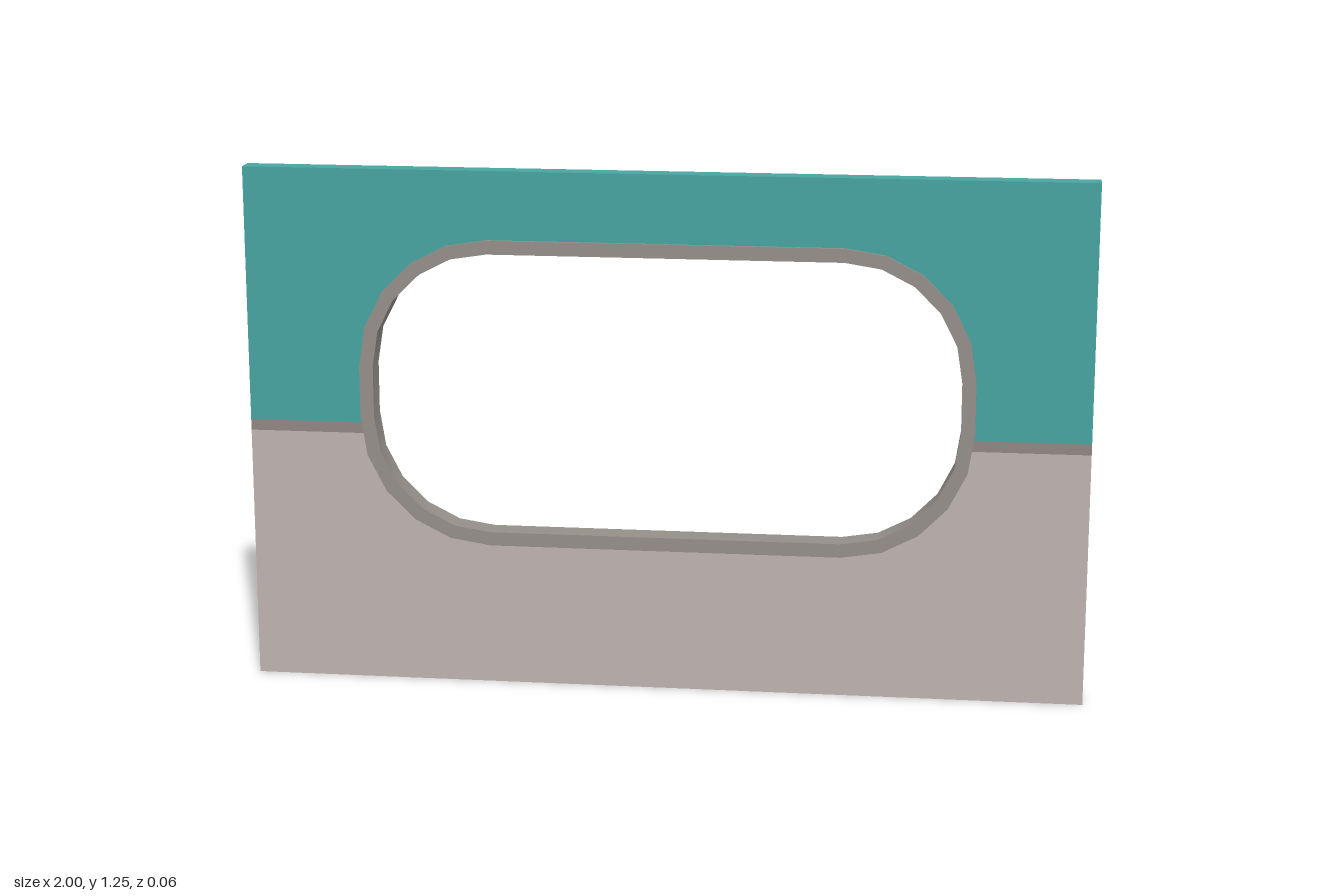
import * as THREE from 'three';
import { toCreasedNormals } from 'three/addons/utils/BufferGeometryUtils.js';

const HALF = 0.025; // half the panel thickness
const TOP = 1.25, BAND_TOP = 0.638, BAND_LOW = 0.612;

const material = (name, color) =>
  new THREE.MeshStandardMaterial({ name, color, side: THREE.DoubleSide });

// Rounded opening, counterclockwise, shrunk by an inset
function opening(inset) {
  const r = 0.31 - inset, pts = [];
  const corners = [[0.42, 0.777], [-0.42, 0.777], [-0.42, 0.655], [0.42, 0.655]];
  corners.forEach(([cx, cy], q) => {
    for (let i = 0; i <= 5; i++) {
      const a = (q + i / 5) * Math.PI / 2;
      pts.push(new THREE.Vector2(cx + r * Math.cos(a), cy + r * Math.sin(a)));
    }
  });
  return pts;
}

export function createModel() {
  const group = new THREE.Group();
  const teal = material('teal paint', 0x48a5a1);
  const pale = material('pale pinkish paint', 0xbfb4b1);
  const band = material('band grey', 0x918785);
  const trim = material('window trim grey', 0x958f89);

  const add = (name, geometry, mat) => {
    const mesh = new THREE.Mesh(geometry, mat);
    mesh.name = name;
    group.add(mesh);
    return mesh;
  };

  // Front and back skins from one outline
  const skins = (name, pts, mat) => {
    const shape = new THREE.Shape(pts.map(([x, y]) => new THREE.Vector2(x, y)));
    add(name + 'Front', new THREE.ShapeGeometry(shape), mat).position.z = HALF;
    const back = add(name + 'Back', new THREE.ShapeGeometry(shape), mat);
    back.rotation.y = Math.PI;
    back.position.z = -HALF;
  };

  // Painted halves, cut around the opening
  const hole = opening(0.015).map(p => [p.x, p.y]);
  const arch = hole.filter(p => p[1] > BAND_TOP + 0.03).reverse();
  const bowl = hole.filter(p => p[1] < BAND_LOW).reverse();
  const w = 0.715;
  skins('upperPanel', [[1, BAND_TOP], [1, TOP], [-1, TOP], [-1, BAND_TOP],
    [-w, BAND_TOP], ...arch, [w, BAND_TOP]], teal);
  skins('lowerPanel', [[-1, BAND_LOW], [-1, 0], [1, 0], [1, BAND_LOW],
    [w, BAND_LOW], ...bowl, [-w, BAND_LOW]], pale);

  // Dividing band on either side of the opening
  for (const s of [-1, 1]) {
    const a = s < 0 ? -1 : w, b = s < 0 ? -w : 1;
    skins(s < 0 ? 'rightBand' : 'leftBand',
      [[a, BAND_LOW], [b, BAND_LOW], [b, BAND_TOP], [a, BAND_TOP]], band);
  }

  // Top and bottom edges; the two ends stay open
  const topEdge = add('topEdge', new THREE.PlaneGeometry(2, HALF * 2), teal);
  topEdge.rotation.x = -Math.PI / 2;
  topEdge.position.y = TOP;
  add('bottomEdge', new THREE.PlaneGeometry(2, HALF * 2), pale).rotation.x = Math.PI / 2;

  // Raised frame lining the opening
  const ring = new THREE.Shape(opening(0));
  ring.holes.push(new THREE.Path(opening(0.033)));
  const frame = new THREE.ExtrudeGeometry(ring, { depth: 0.064, bevelEnabled: false });
  frame.translate(0, 0, -0.032);
  add('windowFrame', toCreasedNormals(frame, 0.6), trim);

  return group;
}
